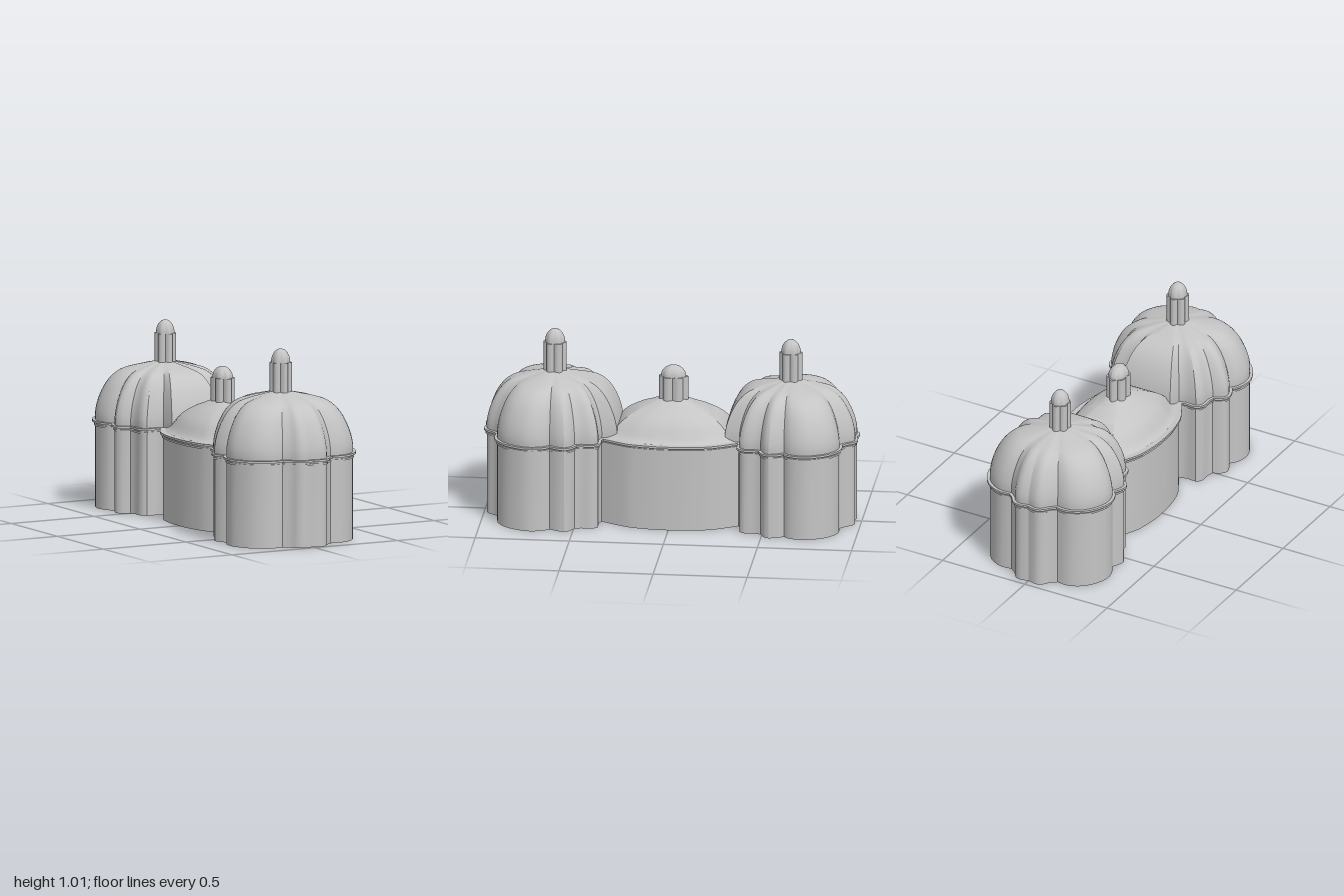
import * as THREE from 'three';
import { toCreasedNormals } from 'three/addons/utils/BufferGeometryUtils.js';

const V2 = (x, y) => new THREE.Vector2(x, y);

// Smooth curve through a few [a, b] points
const smooth = (pts, n) =>
  new THREE.SplineCurve(pts.map(p => V2(p[0], p[1]))).getPoints(n);

// Join point lists, dropping the repeated joints
const join = lists => lists.reduce((all, l) => all.concat(all.length ? l.slice(1) : l), []);

// Close a right half outline (front to back) by mirroring it across x = 0
function mirrorClosed(half) {
  const left = half.filter(p => Math.abs(p.x) > 1e-4).reverse().map(p => V2(-p.x, p.y));
  return half.concat(left);
}

// Push a closed plan outline outward by d
function offset(pts, d) {
  const n = pts.length;
  return pts.map((p, i) => {
    const t = pts[(i + 1) % n].clone().sub(pts[(i + n - 1) % n]).normalize();
    return V2(p.x - t.y * d, p.y + t.x * d);
  });
}

// Skin a stack of closed rings; each ring is { pts (x, z), y }
function loft(rings, crease = 0.5) {
  const n = rings[0].pts.length;
  const pos = [], idx = [];
  for (const { pts, y } of rings) for (const p of pts) pos.push(p.x, y, p.y);
  for (let r = 0; r < rings.length - 1; r++) {
    for (let i = 0; i < n; i++) {
      const a = r * n + i, b = r * n + (i + 1) % n;
      idx.push(a, b, b + n, a, b + n, a + n);
    }
  }
  const g = new THREE.BufferGeometry();
  g.setAttribute('position', new THREE.Float32BufferAttribute(pos, 3));
  g.setIndex(idx);
  return toCreasedNormals(g, crease);
}

// Hollow band following an outline, between two offsets and two heights
const band = (pts, out, inn, y0, y1) => loft(
  [[out, y0], [out, y1], [inn, y1], [inn, y0], [out, y0]]
    .map(([d, y]) => ({ pts: offset(pts, d), y })));

// Dome whose outline shrinks to its centre along a (fraction, height) profile
const dome = (pts, profile) => loft(profile.map(p => ({
  pts: pts.map(q => q.clone().multiplyScalar(p.x)), y: p.y })));

// Right half of a pavilion plan: lobes that meet in creases
const LOBES = [
  smooth([[0, .345], [.05, .357], [.085, .342], [.108, .31], [.145, .28]], 10),
  smooth([[.145, .28], [.22, .283], [.30, .235], [.35, .15], [.36, .09], [.345, .03], [.315, -.005]], 16),
  smooth([[.315, -.005], [.337, -.04], [.35, -.085], [.33, -.115], [.29, -.135]], 8),
  smooth([[.29, -.135], [.28, -.17], [.28, -.225], [.255, -.255], [.20, -.252], [.158, -.265]], 10),
];
const BACK_LOBE = [V2(.158, -.265), V2(.15, -.345), V2(.07, -.35), V2(0, -.35)];

// Right half of the middle hall plan
const HALL = smooth([[.158, .365], [.20, .29], [.235, .22], [.25, .16], [.262, .08], [.265, 0],
  [.262, -.08], [.25, -.16], [.235, -.22], [.20, -.29], [.155, -.362]], 28);

const DOME_PROFILE = smooth([[1, 0], [1, .05], [.955, .12], [.87, .19], [.77, .24],
  [.64, .277], [.47, .298], [.3, .312], [.14, .325], [0, .328]], 28);
const HALL_PROFILE = smooth([[1, .46], [.94, .47], [.86, .49], [.70, .555], [.48, .605],
  [.33, .628], [.18, .65], [0, .655]], 24);

// Fluted finial: grooved shaft with a bullet-shaped cap
function finial(mat, rx, rz, shaft, cap) {
  const N = 72;
  const ring = (scale, depth, y) => ({
    y,
    pts: Array.from({ length: N }, (_, i) => {
      const a = i / N * Math.PI * 2;
      const r = scale * (1 - depth * (1 - Math.abs(Math.cos(3 * a))));
      return V2(Math.sin(a) * r * rx, Math.cos(a) * r * rz);
    }),
  });
  const g = new THREE.Group();
  g.name = 'finial';
  const s = new THREE.Mesh(loft([ring(1, .24, -.02), ring(1, .24, shaft), ring(0, 0, shaft)]), mat);
  s.name = 'finialShaft';
  const steps = Array.from({ length: 11 }, (_, i) => {
    const t = i / 10 * Math.PI / 2;
    return ring(.86 * Math.cos(t), .1, shaft + cap * Math.sin(t));
  });
  const c = new THREE.Mesh(loft(steps, .6), mat);
  c.name = 'finialCap';
  g.add(s, c);
  return g;
}

export function createModel() {
  const model = new THREE.Group();
  model.name = 'triplePavilion';
  const stone = new THREE.MeshStandardMaterial({ color: 0xc4c4c4, side: THREE.DoubleSide });
  stone.name = 'pale grey stone';
  const add = (geo, name, parent = model) => {
    const m = new THREE.Mesh(geo, stone);
    m.name = name;
    parent.add(m);
    return m;
  };

  const ends = [
    { name: 'frontPavilion', z: .63, s: 1, dir: 1 },
    { name: 'rearPavilion', z: -.624, s: .97, dir: -1 },
  ];

  // Outer plan: front pavilion, hall, rear pavilion, then mirrored
  const side = join(LOBES);
  const place = e => side.map(p => V2(p.x * e.s, e.z + e.dir * p.y * e.s));
  const plan = mirrorClosed(join([place(ends[0]), HALL, place(ends[1]).reverse()]));

  // Hollow wall and the stepped cornice around it
  add(band(plan, 0, -.026, 0, .462), 'outerWall');
  add(band(plan, .006, -.01, .438, .448), 'lowerCornice');
  add(band(plan, .016, -.026, .457, .468), 'upperCornice');

  // Lobed pavilion domes with finials
  const domePlan = mirrorClosed(join([...LOBES, BACK_LOBE]));
  for (const e of ends) {
    const g = new THREE.Group();
    g.name = e.name;
    g.position.set(0, .462, e.z);
    g.scale.setScalar(e.s);
    if (e.dir < 0) g.rotation.y = Math.PI;
    add(dome(domePlan, DOME_PROFILE), 'lobedDome', g);
    const f = finial(stone, .058, .062, .155, .073);
    f.position.y = .325;
    g.add(f);
    model.add(g);
  }

  // Low oval dome over the hall
  add(dome(mirrorClosed(HALL), HALL_PROFILE), 'hallDome');
  const f = finial(stone, .058, .078, .125, .06);
  f.position.y = .65;
  model.add(f);

  return model;
}
